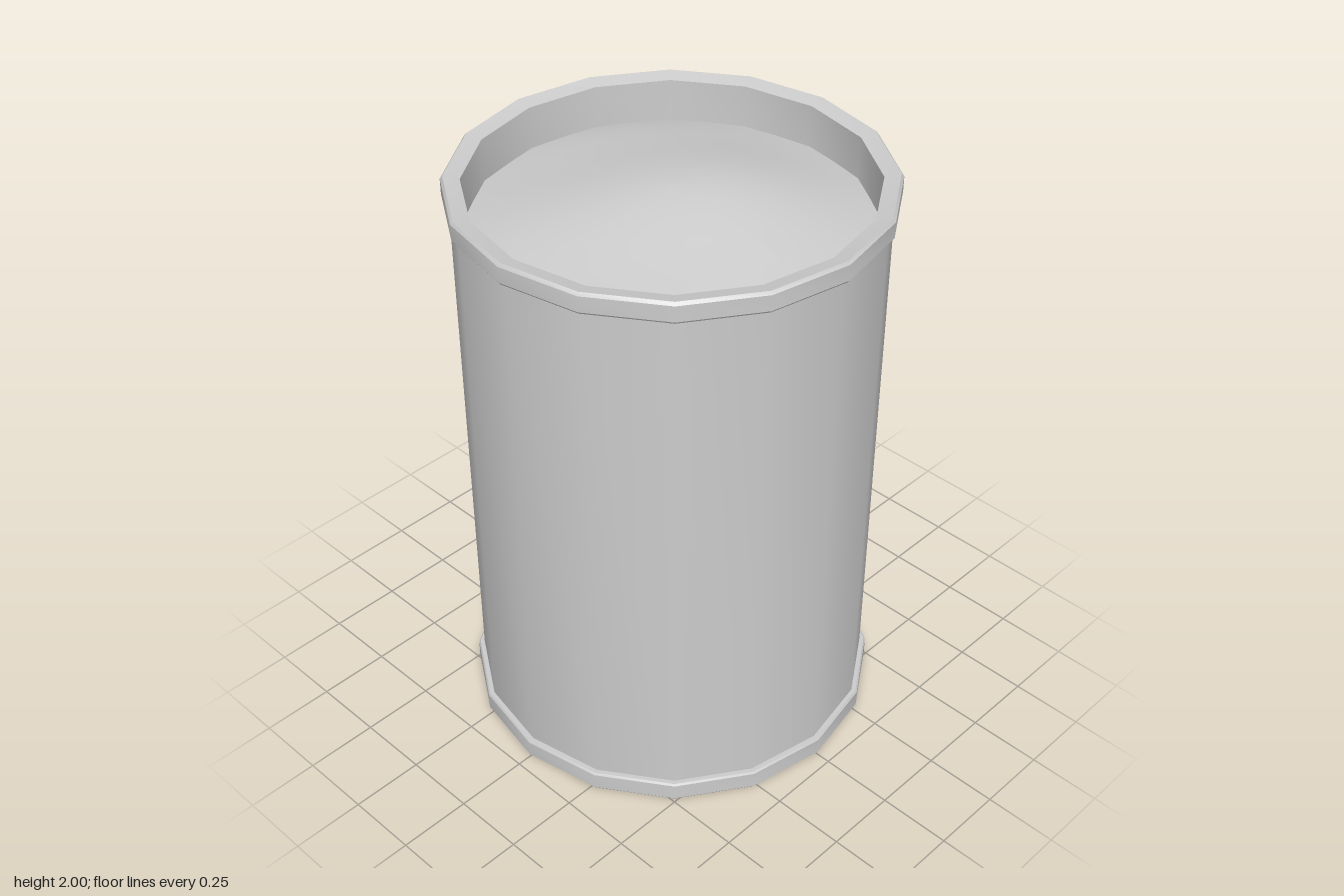
import * as THREE from 'three';
import { toCreasedNormals } from 'three/addons/utils/BufferGeometryUtils.js';

const SIDES = 16;
const material = new THREE.MeshStandardMaterial({ color: 0xcccccc });

// Revolve [radius, y] points (outside runs upward) with sharp profile edges
function turned(name, points) {
  const profile = points.map(([r, y]) => new THREE.Vector2(r, y));
  const geometry = toCreasedNormals(new THREE.LatheGeometry(profile, SIDES), 0.6);
  const mesh = new THREE.Mesh(geometry, material);
  mesh.name = name;
  return mesh;
}

// Uneven mound filling the top of the barrel, flat around its edge
function createContents() {
  const radius = 0.65, rings = 12;
  const profile = [];
  for (let i = 0; i <= rings; i++) {
    profile.push(new THREE.Vector2(radius * (1 - i / rings), 1.84));
  }
  const geometry = new THREE.LatheGeometry(profile, SIDES * 2);
  const p = geometry.attributes.position;
  for (let i = 0; i < p.count; i++) {
    const x = p.getX(i), z = p.getZ(i);
    const dome = 1 - (x * x + z * z) / (radius * radius);
    const waves = 0.02 * Math.sin(5 * x + 2 * z + 0.6) + 0.015 * Math.cos(6 * z - 4 * x);
    p.setY(i, 1.84 + dome * (0.1 + waves));
  }
  geometry.computeVertexNormals();
  const mesh = new THREE.Mesh(geometry, material);
  mesh.name = 'contents';
  return mesh;
}

export function createModel() {
  const group = new THREE.Group();
  group.name = 'barrel';

  // Straight wall
  group.add(turned('wall', [[0.68, 0.05], [0.68, 1.95]]));

  // Top rim, with its inner face reaching below the contents
  group.add(turned('topRim', [
    [0.675, 1.93], [0.695, 1.93], [0.7, 1.937], [0.7, 1.99],
    [0.692, 2], [0.64, 1.988], [0.638, 1.8],
  ]));

  // Bottom rim, open underneath
  group.add(turned('bottomRim', [
    [0.64, 0.03], [0.64, 0], [0.692, 0], [0.7, 0.01],
    [0.7, 0.068], [0.695, 0.075], [0.675, 0.075],
  ]));

  // Stepped, recessed base
  group.add(turned('base', [
    [0, 0.06], [0.575, 0.06], [0.58, 0.045], [0.6, 0.045], [0.605, 0.03], [0.645, 0.03],
  ]));

  group.add(createContents());
  return group;
}
